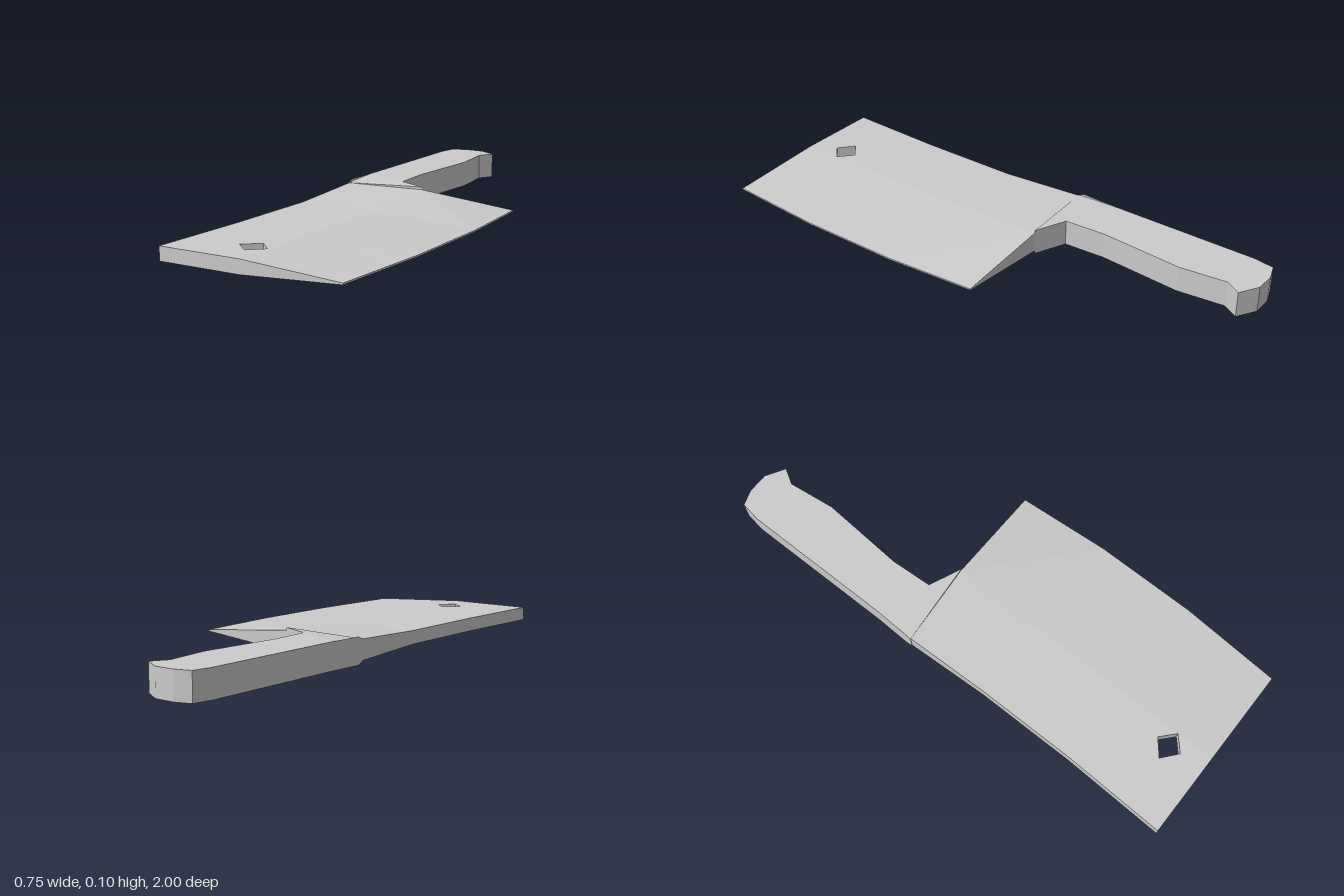
import * as THREE from 'three';

const material = new THREE.MeshStandardMaterial({ color: 0xcccccc, flatShading: true });
const midY = 0.052;

// Wedge-shaped blade: a grid of stations mirrored about the middle plane, with a diamond hole
function createBlade() {
  const rows = [-0.16, 0.2, 0.6, 0.8, 0.85, 0.9, 1];
  const columns = 4, last = rows.length - 1;
  const hole = [2, 4];
  const positions = [];

  const point = ([i, j], side) => {
    const z = rows[j];
    const bow = z < 0.2 ? (0.2 - z) / 0.36 : Math.max(0, (z - 0.6) / 0.4);
    const x = [-0.36 - 0.014 * bow, -0.16, -0.1, -0.045, 0.372 - 0.026 * bow][i];
    const half = i === columns ? 0.003 : 0.026 + (z < 0.2 ? 0.014 * bow : 0);
    return [x, midY + side * half, z];
  };
  const face = (pts) => {
    for (let k = 1; k < pts.length - 1; k++) positions.push(...pts[0], ...pts[k], ...pts[k + 1]);
  };
  const walls = (loop) => loop.forEach((p, k) => {
    const q = loop[(k + 1) % loop.length];
    face([point(p, -1), point(q, -1), point(q, 1), point(p, 1)]);
  });

  // Upper and lower cheeks; cells touching the hole centre lose that corner
  for (let i = 0; i < columns; i++) {
    for (let j = 0; j < last; j++) {
      const cell = [[i, j], [i, j + 1], [i + 1, j + 1], [i + 1, j]]
        .filter(([a, b]) => a !== hole[0] || b !== hole[1]);
      face(cell.map((c) => point(c, 1)));
      face(cell.map((c) => point(c, -1)).reverse());
    }
  }

  // Spine, tip, cutting edge and heel, then the inside of the hole
  const rim = [];
  for (let j = 0; j < last; j++) rim.push([0, j]);
  for (let i = 0; i < columns; i++) rim.push([i, last]);
  for (let j = last; j > 0; j--) rim.push([columns, j]);
  for (let i = columns; i > 0; i--) rim.push([i, 0]);
  walls(rim);
  walls([[1, 4], [2, 3], [3, 4], [2, 5]]);

  const geometry = new THREE.BufferGeometry();
  geometry.setAttribute('position', new THREE.Float32BufferAttribute(positions, 3));
  geometry.computeVertexNormals();
  const blade = new THREE.Mesh(geometry, material);
  blade.name = 'blade';
  return blade;
}

// Flat-sided handle with a finger curve, a hooked butt and a sloped shoulder at the blade
function createHandle() {
  const outline = [
    [-0.375, -0.135], [-0.045, -0.16], [-0.17, -0.215], [-0.18, -0.38], [-0.157, -0.71],
    [-0.18, -0.895], [-0.145, -0.955], [-0.22, -1], [-0.3, -1], [-0.36, -0.98],
    [-0.372, -0.9], [-0.37, -0.3], [-0.375, -0.16],
  ];
  const shape = new THREE.Shape(outline.map(([x, z]) => new THREE.Vector2(x, -z)));
  const geometry = new THREE.ExtrudeGeometry(shape, { depth: 0.103, bevelEnabled: false });
  geometry.rotateX(-Math.PI / 2);

  // Bring the shoulder's front corner down to the blade cheeks
  const pos = geometry.attributes.position;
  for (let k = 0; k < pos.count; k++) {
    if (pos.getZ(k) > -0.15) pos.setY(k, pos.getY(k) > midY ? 0.092 : 0.012);
  }
  geometry.computeVertexNormals();
  const handle = new THREE.Mesh(geometry, material);
  handle.name = 'handle';
  return handle;
}

export function createModel() {
  const model = new THREE.Group();
  model.name = 'cleaver';
  model.add(createBlade(), createHandle());
  return model;
}
